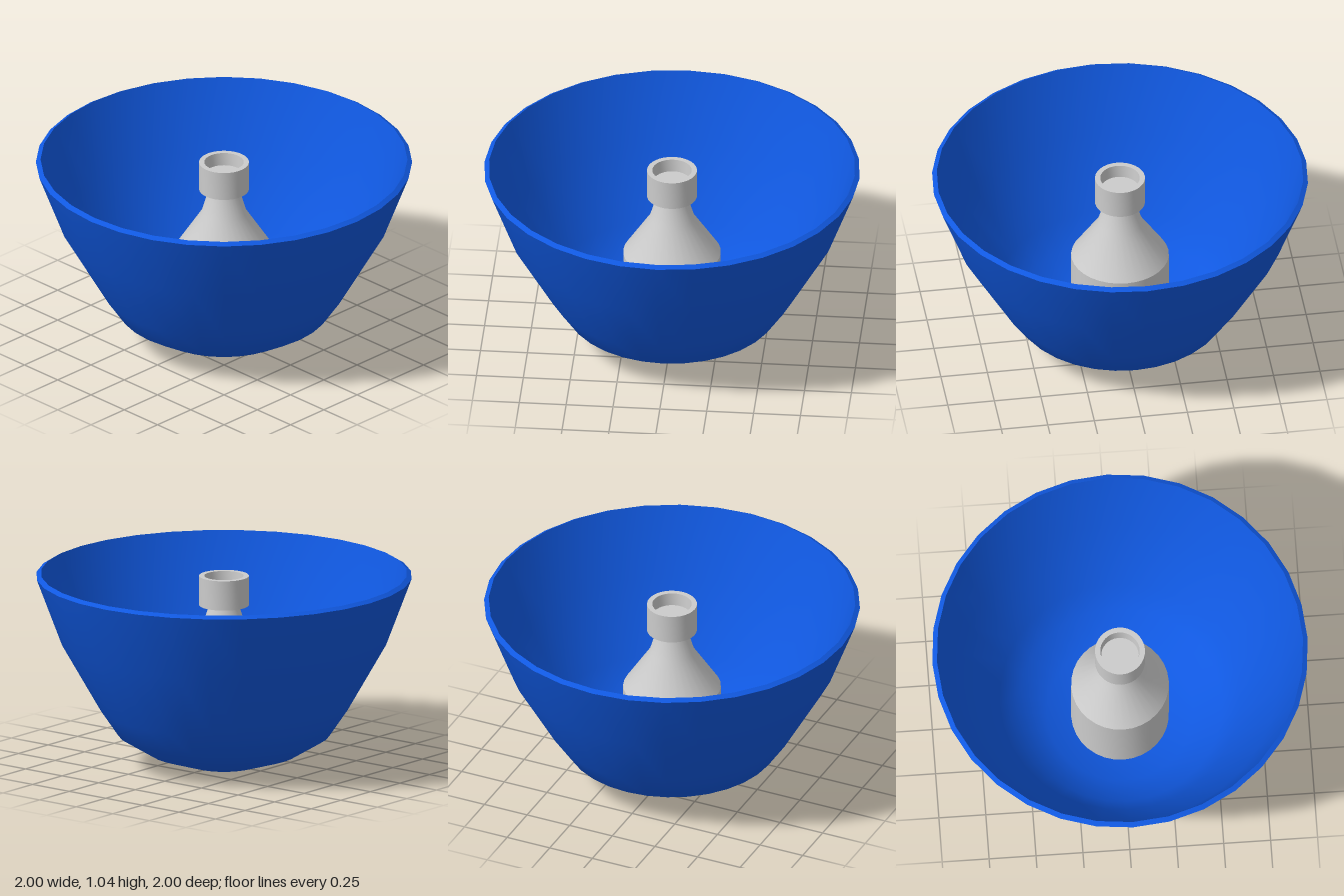
import * as THREE from 'three';
import { toCreasedNormals } from 'three/addons/utils/BufferGeometryUtils.js';

const SEGMENTS = 32;

// Turned part from [radius, height] pairs; edges sharper than the crease angle stay crisp
function turned(name, profile, color, crease) {
  const points = profile.map(([r, y]) => new THREE.Vector2(r, y));
  const geometry = toCreasedNormals(new THREE.LatheGeometry(points, SEGMENTS), crease);
  const mesh = new THREE.Mesh(geometry, new THREE.MeshStandardMaterial({ color }));
  mesh.name = name;
  return mesh;
}

export function createModel() {
  const model = new THREE.Group();
  model.name = 'bowlWithPost';

  // Bowl: outer wall up to a bevelled rim, then down the inner wall to the floor
  model.add(turned('bowl', [
    [0, 0], [0.18, 0], [0.4, 0.07], [0.565, 0.17], [0.66, 0.31], [0.865, 0.67],
    [1, 1.03], [0.975, 1.045],
    [0.845, 0.68], [0.64, 0.32], [0.545, 0.19], [0.39, 0.09], [0.17, 0.03], [0, 0.03],
  ], 0x1058e0, 0.8));

  // Post: straight foot, flared cone and slim neck
  model.add(turned('post', [
    [0.26, 0.03], [0.26, 0.52], [0.12, 0.735], [0.08, 0.87],
  ], 0xcccccc, 0.5));

  // Collar: short cup with a shallow recess on top of the neck
  model.add(turned('collar', [
    [0, 0.87], [0.133, 0.87], [0.133, 1.03], [0.105, 1.03], [0.1, 0.96], [0, 0.96],
  ], 0xcccccc, 0.5));

  return model;
}
